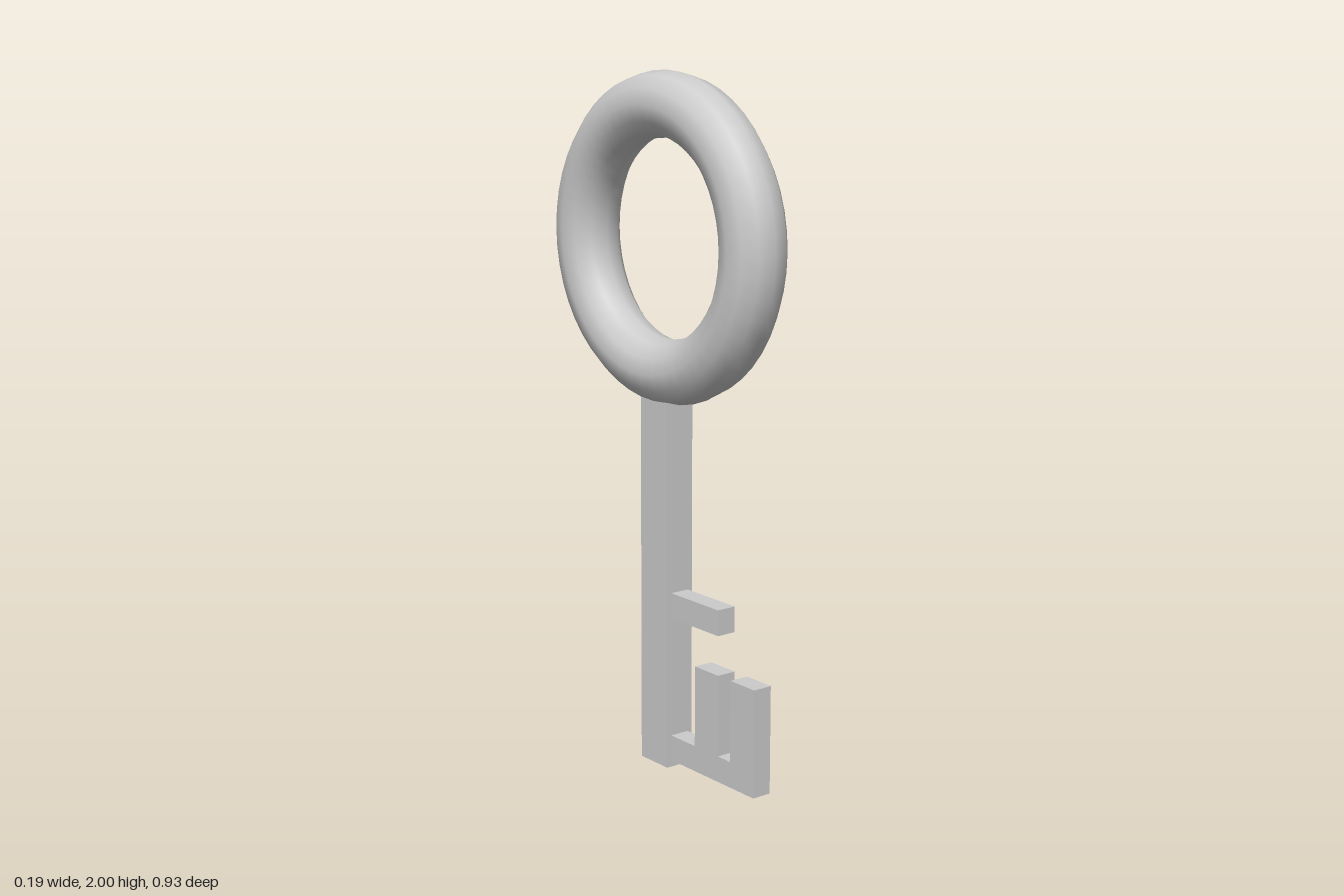
import * as THREE from 'three';

export function createModel() {
  const key = new THREE.Group();
  key.name = 'key';
  const material = new THREE.MeshStandardMaterial({ color: 0xcccccc });

  const add = (name, geometry, x, y, z) => {
    const mesh = new THREE.Mesh(geometry, material);
    mesh.name = name;
    mesh.position.set(x, y, z);
    key.add(mesh);
    return mesh;
  };

  // Ring handle, standing in the YZ plane
  const ring = new THREE.TorusGeometry(0.374, 0.093, 12, 48).rotateY(Math.PI / 2);
  add('ringHandle', ring, 0, 1.533, 0);

  // Square shaft, its top sunk into the ring
  add('shaft', new THREE.BoxGeometry(0.09, 1.14, 0.122), 0, 0.57, 0);

  // Upper tooth
  add('upperTooth', new THREE.BoxGeometry(0.06, 0.075, 0.23), 0, 0.488, 0.157);

  // Lower bit: a foot with two upright prongs, drawn as (z, y)
  const outline = [
    [0.04, 0.02], [0.43, 0.02], [0.43, 0.335], [0.328, 0.335], [0.328, 0.096],
    [0.274, 0.096], [0.274, 0.335], [0.17, 0.335], [0.17, 0.096], [0.04, 0.096],
  ].map(([z, y]) => new THREE.Vector2(z, y));
  const bit = new THREE.ExtrudeGeometry(new THREE.Shape(outline), { depth: 0.06, bevelEnabled: false });
  bit.translate(0, 0, -0.03).rotateY(-Math.PI / 2);
  add('lowerBit', bit, 0, 0, 0);

  return key;
}
